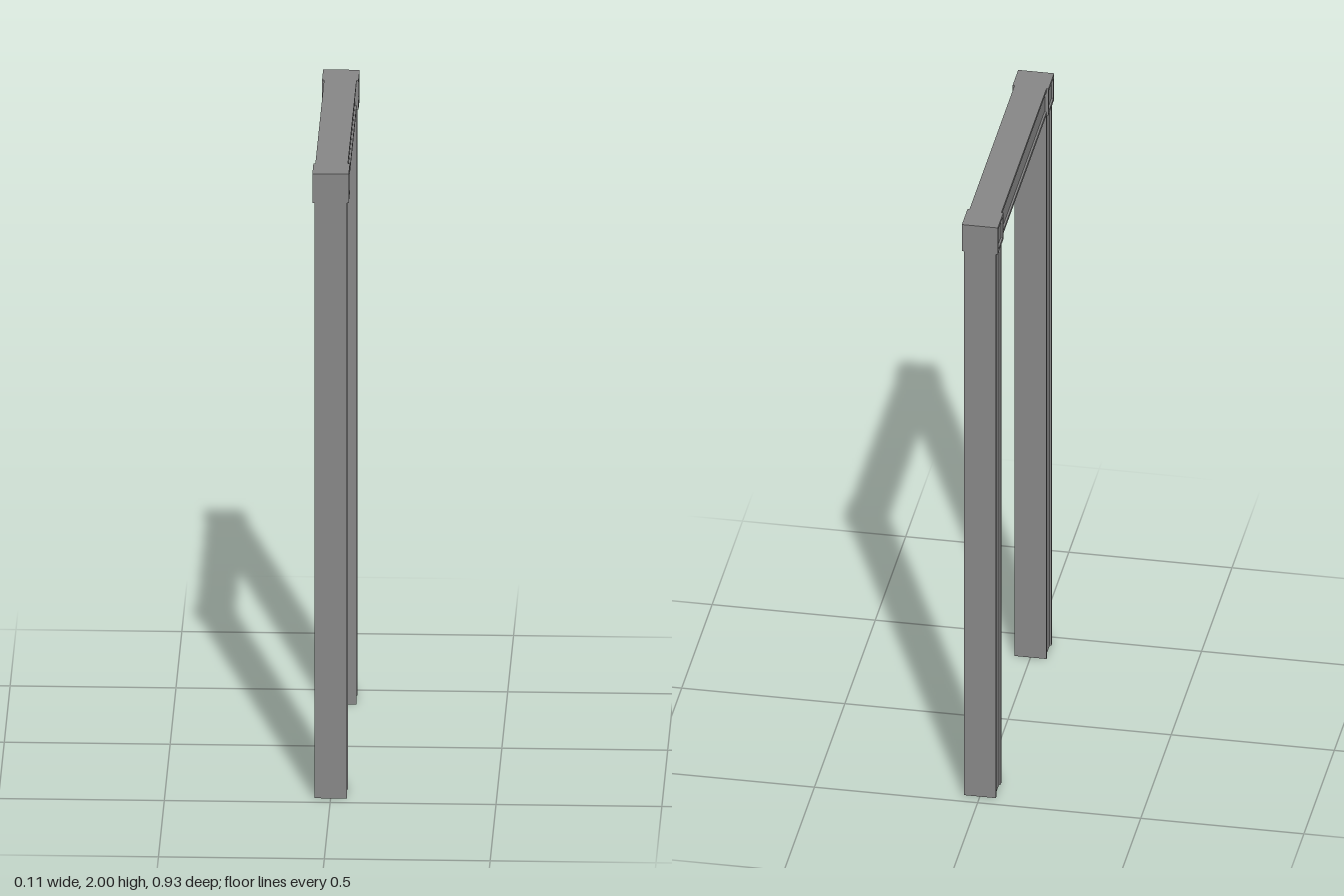
import * as THREE from 'three';

const INNER = 0.37, OUTER = 0.463, TOP = 2;
const WIDTH = OUTER - INNER, MID = (OUTER + INNER) / 2;
const JOIN = TOP - WIDTH;
const HALF_X = 0.049, BLOCK_X = 0.055;

// Half-widths of the face, the channel mouth and the channel floor
const EDGE = WIDTH / 2, MOUTH = EDGE - 0.011, FLOOR = MOUTH - 0.004;
const DEPTH = 0.005;

// Bar with a shallow bevelled channel along both x faces
function channelBar(length, material) {
  const x = HALF_X, d = HALF_X - DEPTH;
  const points = [
    [-x, -EDGE], [x, -EDGE], [x, -MOUTH], [d, -FLOOR], [d, FLOOR], [x, MOUTH],
    [x, EDGE], [-x, EDGE], [-x, MOUTH], [-d, FLOOR], [-d, -FLOOR], [-x, -MOUTH],
  ].map(([a, b]) => new THREE.Vector2(a, b));
  const geometry = new THREE.ExtrudeGeometry(new THREE.Shape(points), { depth: length, bevelEnabled: false });
  geometry.translate(0, 0, -length / 2);
  return new THREE.Mesh(geometry, material);
}

// Square corner block with a bevelled square recess in both x faces (four-sided lathe)
function cornerBlock(material) {
  const x = BLOCK_X, d = BLOCK_X - DEPTH;
  const profile = [
    [0, -d], [FLOOR, -d], [MOUTH, -x], [EDGE, -x],
    [EDGE, x], [MOUTH, x], [FLOOR, d], [0, d],
  ].map(([half, along]) => new THREE.Vector2(half * Math.SQRT2, along));
  const geometry = new THREE.LatheGeometry(profile, 4, Math.PI / 4).toNonIndexed();
  geometry.rotateZ(Math.PI / 2);
  geometry.computeVertexNormals();
  return new THREE.Mesh(geometry, material);
}

export function createModel() {
  const model = new THREE.Group();
  model.name = 'doorFrame';
  const material = new THREE.MeshStandardMaterial({ color: 0x888888, flatShading: true });

  // Posts and corner blocks at the front and back
  for (const [side, s] of [['front', 1], ['back', -1]]) {
    const post = channelBar(JOIN, material);
    post.name = side + 'Post';
    post.rotation.x = -Math.PI / 2;
    post.position.set(0, JOIN / 2, s * MID);

    const block = cornerBlock(material);
    block.name = side + 'CornerBlock';
    block.position.set(0, (JOIN + TOP) / 2, s * MID);
    model.add(post, block);
  }

  // Lintel between the blocks
  const lintel = channelBar(2 * INNER, material);
  lintel.name = 'lintel';
  lintel.position.y = (JOIN + TOP) / 2;
  model.add(lintel);
  return model;
}
